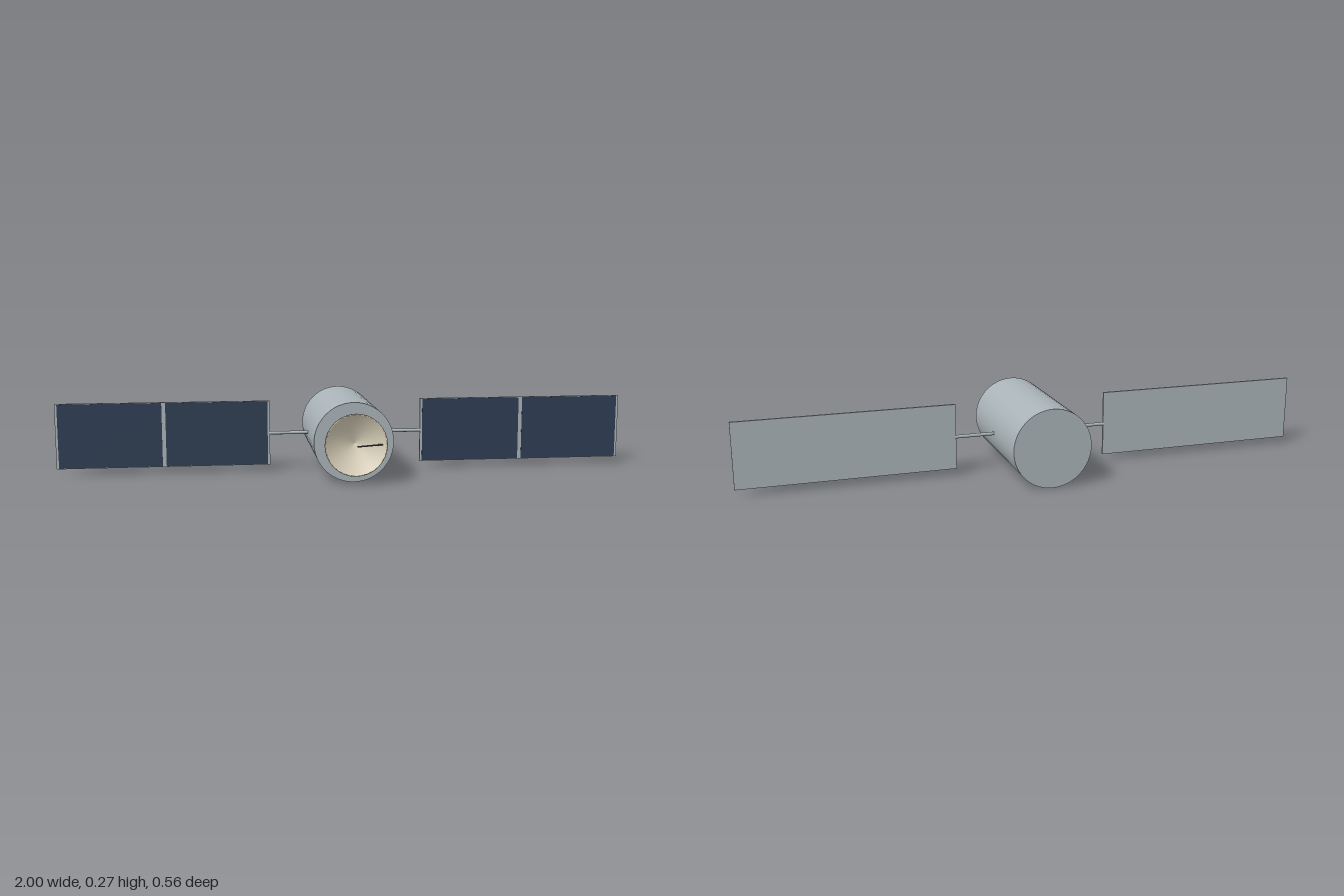
import * as THREE from 'three';

const R = 0.134; // hull radius, also the height of the hull axis
const ARRAY_Z = -0.043;

export function createModel() {
  const hullGrey = new THREE.MeshStandardMaterial({ color: 0xaab4b8 });
  hullGrey.name = 'hull grey';
  const cellNavy = new THREE.MeshStandardMaterial({ color: 0x2f3e54 });
  cellNavy.name = 'cell navy';
  const dishCream = new THREE.MeshStandardMaterial({ color: 0xddd4bd });
  dishCream.name = 'dish cream';
  const feedGrey = new THREE.MeshStandardMaterial({ color: 0x55585a });
  feedGrey.name = 'feed grey';

  const model = new THREE.Group();
  model.name = 'satellite';
  const add = (name, geometry, material, parent = model) => {
    const mesh = new THREE.Mesh(geometry, material);
    mesh.name = name;
    parent.add(mesh);
    return mesh;
  };
  const rod = (name, a, b, radius, material, parent) => {
    const dir = b.clone().sub(a);
    const mesh = add(name, new THREE.CylinderGeometry(radius, radius, dir.length(), 12), material, parent);
    mesh.position.copy(a).add(b).multiplyScalar(0.5);
    mesh.quaternion.setFromUnitVectors(new THREE.Vector3(0, 1, 0), dir.normalize());
    return mesh;
  };

  // Cylindrical hull along z
  const hull = add('hull', new THREE.CylinderGeometry(R, R, 0.467, 48).rotateX(Math.PI / 2), hullGrey);
  hull.position.set(0, R, -0.0435);

  // Conical dish with a short rim and a hollow bowl
  const profile = [[0, 0], [0.104, 0.046], [0.104, 0.053], [0.1, 0.053], [0.055, 0.024], [0, 0.008]];
  const dish = add(
    'dish',
    new THREE.LatheGeometry(profile.map(([r, h]) => new THREE.Vector2(r, h)), 32).rotateX(Math.PI / 2),
    dishCream
  );
  dish.position.set(0, R, 0.197);

  // Feed strut from the bowl to the focus
  rod('feedStrut', new THREE.Vector3(0.088, R, 0.243), new THREE.Vector3(0, R, 0.276), 0.0025, feedGrey);

  // Solar wings, one on each side
  for (const [side, name] of [[1, 'leftWing'], [-1, 'rightWing']]) {
    const wing = new THREE.Group();
    wing.name = name;
    model.add(wing);

    rod('boom', new THREE.Vector3(side * 0.12, R, ARRAY_Z), new THREE.Vector3(side * 0.27, R, ARRAY_Z), 0.006, hullGrey, wing);

    const panel = add('panel', new THREE.BoxGeometry(0.733, 0.226, 0.008), hullGrey, wing);
    panel.position.set(side * 0.6335, R + 0.001, ARRAY_Z);

    // Two cell fields on the front face
    for (const offset of [-0.1825, 0.1825]) {
      const cells = add('solarCells', new THREE.BoxGeometry(0.352, 0.222, 0.001), cellNavy, wing);
      cells.position.set(side * (0.6335 + offset), R + 0.001, ARRAY_Z + 0.0043);
    }
  }
  return model;
}
